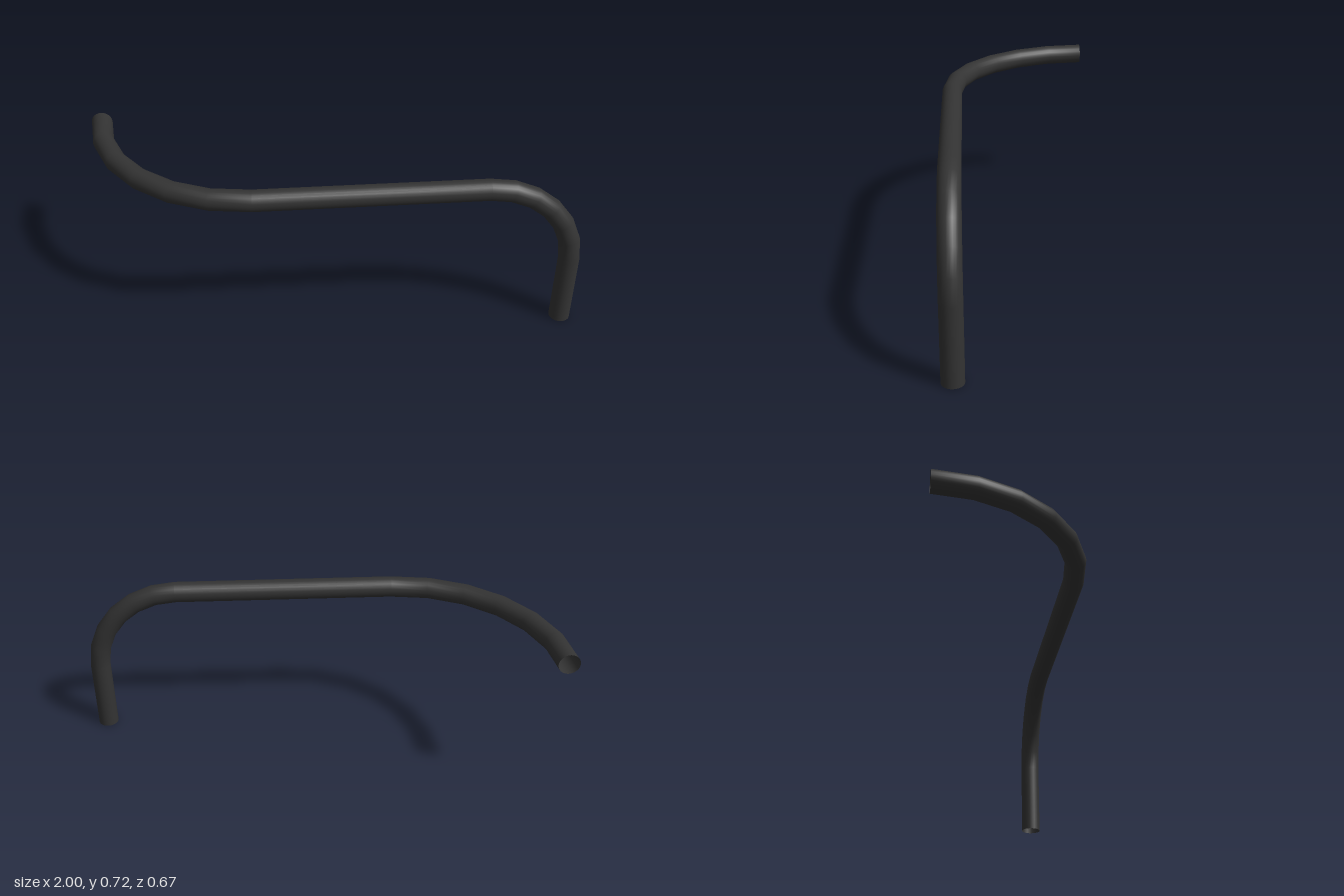
import * as THREE from 'three';

const RADIUS = 0.0436, BEND_STEPS = 6;

// Cross-sections along the pipe: centre c, in-plane axes u and v
function pipeSections() {
  const V = (x, y, z) => new THREE.Vector3(x, y, z);
  const sections = [{ c: V(0.956, 0, 0.29), u: V(1, 0, 0), v: V(0, 0, 1) }];
  // Upright turns over into the horizontal run
  const r1 = 0.36;
  for (let i = 0; i <= BEND_STEPS; i++) {
    const a = (i / BEND_STEPS) * Math.PI / 2, u = V(Math.cos(a), Math.sin(a), 0);
    sections.push({ c: V(0.596, 0.318, 0.29).addScaledVector(u, r1), u, v: V(0, 0, 1) });
  }
  // Horizontal run sweeps round to the back
  const r2 = 0.626;
  for (let i = 0; i <= BEND_STEPS; i++) {
    const a = (i / BEND_STEPS) * Math.PI / 2, v = V(-Math.sin(a), 0, Math.cos(a));
    sections.push({ c: V(-0.33, 0.678, -0.336).addScaledVector(v, r2), u: V(0, 1, 0), v });
  }
  return sections;
}

export function createModel() {
  const group = new THREE.Group();
  group.name = 'bentPipe';

  // Open cylinder whose rings are moved onto the sections
  const sections = pipeSections(), spans = sections.length - 1;
  const geometry = new THREE.CylinderGeometry(1, 1, spans, 24, spans, true);
  const pos = geometry.attributes.position, nor = geometry.attributes.normal;
  for (let i = 0; i < pos.count; i++) {
    const { c, u, v } = sections[Math.round(pos.getY(i) + spans / 2)];
    const n = new THREE.Vector3().addScaledVector(u, pos.getX(i)).addScaledVector(v, pos.getZ(i));
    const p = c.clone().addScaledVector(n, RADIUS);
    pos.setXYZ(i, p.x, p.y, p.z);
    nor.setXYZ(i, n.x, n.y, n.z);
  }

  const material = new THREE.MeshStandardMaterial({ color: 0x333333, side: THREE.DoubleSide });
  const pipe = new THREE.Mesh(geometry, material);
  pipe.name = 'pipe';
  group.add(pipe);
  return group;
}
